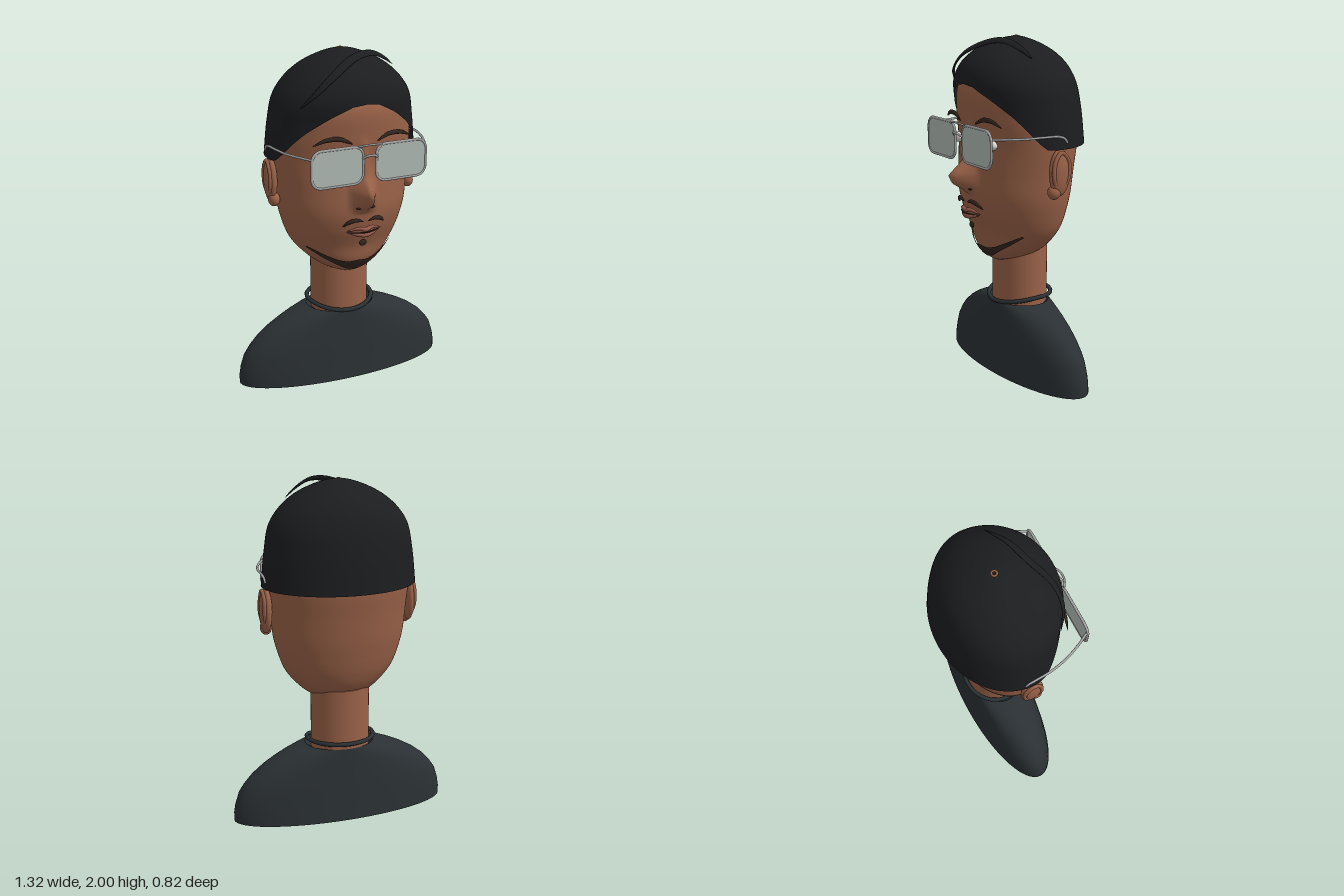
import * as THREE from 'three';

const mat = (color) => new THREE.MeshStandardMaterial({ color, side: THREE.DoubleSide });
const skin = mat(0x9a6248), hairMat = mat(0x1c1d1f), shirt = mat(0x2a3033), metal = mat(0xa8a8a8);
const lensMat = mat(0xb0bbb4), lipMat = mat(0x95594c), browMat = mat(0x33261f), white = mat(0xd8d4cc);
const TAU = Math.PI * 2;

// Smooth grid surface from f(u, v), both 0..1; u can wrap round.
function loft(f, nu, nv, wrap = true) {
  const pos = [], idx = [], cols = wrap ? nu : nu + 1;
  for (let j = 0; j <= nv; j++)
    for (let i = 0; i < cols; i++) pos.push(...f(i / nu, j / nv));
  for (let j = 0; j < nv; j++)
    for (let i = 0; i < nu; i++) {
      const a = j * cols + i, b = j * cols + (i + 1) % cols;
      idx.push(a, b, a + cols, b, b + cols, a + cols);
    }
  const g = new THREE.BufferGeometry();
  g.setAttribute('position', new THREE.Float32BufferAttribute(pos, 3));
  g.setIndex(idx);
  g.computeVertexNormals();
  return g;
}

const curve = (pts, closed = false) =>
  new THREE.CatmullRomCurve3(pts.map((p) => new THREE.Vector3(...p)), closed);

// Rows of [y, half width, front z, back z] smoothed into a profile.
function profile(rows) {
  const a = curve(rows.map(([y, w, f]) => [y, w, f]));
  const b = curve(rows.map(([y, w, , k]) => [y, w, k]));
  const at = (t) => {
    const p = a.getPoint(t), q = b.getPoint(t);
    return { y: p.x, w: Math.max(p.y, 0), f: p.z, b: q.z };
  };
  const atY = (y) => {
    let lo = 0, hi = 1;
    for (let i = 0; i < 24; i++) {
      const m = (lo + hi) / 2;
      if (a.getPoint(m).x < y) lo = m; else hi = m;
    }
    return at(lo);
  };
  return { at, atY };
}

const MID = -0.05; // depth of the widest line of the head
function around(r, phi) {
  const c = Math.cos(phi);
  return [r.w * Math.sin(phi), MID + (c > 0 ? r.f - MID : MID - r.b) * c];
}

function table(rows, x) {
  if (x <= rows[0][0]) return rows[0][1];
  for (let i = 1; i < rows.length; i++)
    if (x <= rows[i][0]) {
      const [x0, y0] = rows[i - 1], [x1, y1] = rows[i];
      return y0 + (y1 - y0) * (x - x0) / (x1 - x0);
    }
  return rows[rows.length - 1][1];
}

// Flattened sweep tapering to both ends; h is thickness along ref.
function taper(pts, w, h, ref = [0, 0, 1]) {
  const c = curve(pts), n0 = new THREE.Vector3(...ref);
  return loft((u, v) => {
    const p = c.getPoint(v), t = c.getTangent(v);
    const b = n0.clone().cross(t).normalize(), n = t.clone().cross(b);
    const k = 0.04 + 0.96 * Math.pow(Math.sin(Math.PI * v), 0.7);
    p.addScaledVector(b, w * k * Math.cos(u * TAU)).addScaledVector(n, h * k * Math.sin(u * TAU));
    return p.toArray();
  }, 10, 28);
}

const tube = (pts, r, closed = false, n = 48) => new THREE.TubeGeometry(curve(pts, closed), n, r, 8, closed);

function roundedRect(hw, hh, r) {
  const s = new THREE.Shape();
  [[1, 1], [-1, 1], [-1, -1], [1, -1]].forEach(([sx, sy], i) =>
    s.absarc(sx * (hw - r), sy * (hh - r), r, i * Math.PI / 2, (i + 1) * Math.PI / 2));
  return s.closePath();
}

export function createModel() {
  const model = new THREE.Group();
  const add = (name, geo, m, p = [0, 0, 0], s = [1, 1, 1]) => {
    const mesh = new THREE.Mesh(geo, m);
    mesh.name = name;
    mesh.position.set(...p);
    mesh.scale.set(...s);
    model.add(mesh);
    return mesh;
  };
  const ball = (name, m, p, s) => add(name, new THREE.SphereGeometry(1, 24, 16), m, p, s);

  // Bust: elliptical sections, closed underneath and dished at the neck
  const bust = [[0, 0, 0], [0, 0.66, 0.22], [0, 0.66, 0.22], [0.05, 0.66, 0.214], [0.1, 0.652, 0.208],
    [0.17, 0.63, 0.2], [0.22, 0.596, 0.195], [0.27, 0.55, 0.189], [0.32, 0.485, 0.183], [0.36, 0.415, 0.179],
    [0.39, 0.35, 0.175], [0.415, 0.28, 0.172], [0.432, 0.21, 0.17], [0.432, 0.21, 0.17], [0.4, 0.16, 0.14]];
  add('shoulders', loft((u, v) => {
    const [y, w, d] = bust[Math.round(v * (bust.length - 1))];
    return [w * Math.sin(u * TAU), y, -0.065 + d * Math.cos(u * TAU)];
  }, 72, bust.length - 1), shirt);

  // Neck and collar cord
  add('neck', new THREE.CylinderGeometry(1, 1, 0.42, 48), skin, [0, 0.58, -0.075], [0.175, 1, 0.16]);
  const cord = [];
  for (let i = 0; i < 24; i++) {
    const a = i / 24 * TAU, c = Math.cos(a);
    cord.push([0.2 * Math.sin(a), 0.47 - 0.035 * Math.max(c, 0) ** 1.5, -0.075 + 0.18 * c]);
  }
  add('collarCord', tube(cord, 0.013, true, 72), shirt);

  // Head with the nose drawn out of its front
  const head = profile([[0.68, 0.005, 0.03, 0], [0.685, 0.08, 0.085, -0.1], [0.715, 0.17, 0.14, -0.2],
    [0.78, 0.245, 0.185, -0.245], [0.88, 0.32, 0.205, -0.28], [1, 0.365, 0.25, -0.305], [1.1, 0.39, 0.27, -0.325],
    [1.25, 0.405, 0.265, -0.345], [1.4, 0.42, 0.255, -0.365], [1.55, 0.42, 0.27, -0.365], [1.7, 0.395, 0.27, -0.345],
    [1.82, 0.31, 0.2, -0.28], [1.92, 0.18, 0.08, -0.18], [1.97, 0, MID, MID]]);
  const noseOut = [[1.1, 0], [1.14, 0.05], [1.18, 0.118], [1.23, 0.145], [1.27, 0.1], [1.32, 0.045], [1.42, 0.03], [1.55, 0]];
  const noseWide = [[1.1, 0.1], [1.25, 0.09], [1.4, 0.05], [1.55, 0.05]];
  add('head', loft((u, v) => {
    const r = head.at(v), phi = u * TAU;
    let [x, z] = around(r, phi);
    if (Math.cos(phi) > 0) z += table(noseOut, r.y) * Math.max(0, 1 - Math.abs(x) / table(noseWide, r.y)) ** 1.3;
    const lift = 0.03 * (1 - Math.cos(phi)) * Math.max(0, 1 - (r.y - 0.68) / 0.3);
    return [x, r.y + lift, z];
  }, 144, 110), skin);
  const faceZ = (x, y) => {
    const r = head.atY(y);
    return MID + (r.f - MID) * Math.sqrt(Math.max(0, 1 - (x / r.w) ** 2));
  };

  // Cap of hair with an arched front hairline
  const hair = profile([[1.38, 0.459, 0.27, -0.412], [1.6, 0.435, 0.28, -0.39], [1.74, 0.405, 0.3, -0.362],
    [1.83, 0.345, 0.275, -0.325], [1.9, 0.265, 0.215, -0.265], [1.95, 0.175, 0.13, -0.19],
    [1.985, 0.08, 0.03, -0.11], [2, 0, MID, MID]]);
  const hem = [[0, 1.74], [0.2, 1.73], [0.48, 1.67], [0.8, 1.58], [1, 1.51], [1.15, 1.45], [1.3, 1.405], [1.4, 1.4]];
  add('hair', loft((u, v) => {
    const phi = u * TAU, h = table(hem, Math.min(phi, TAU - phi));
    const y = h + (2 - h) * Math.sin(v * Math.PI / 2);
    const [x, z] = around(hair.atY(y), phi);
    return [v === 1 ? 0 : x, y, z];
  }, 96, 36), hairMat);
  add('crownSpot', new THREE.TorusGeometry(0.014, 0.006, 8, 20).rotateX(Math.PI / 2), skin, [0, 1.994, MID]);
  add('hairStrand', taper([[-0.34, 1.72, 0.165], [-0.26, 1.81, 0.215], [-0.15, 1.9, 0.21], [0, 1.97, 0.14],
    [0.12, 1.98, 0.1], [0.22, 1.94, 0.06], [0.29, 1.89, 0.035]], 0.026, 0.009, [0, 0.8, 0.6]), hairMat);

  // Chin beard following the jaw
  const beardTop = [[0, 0.79], [0.06, 0.785], [0.12, 0.8], [0.2, 0.84], [0.28, 0.885]];
  const beardLow = [[0, 0.718], [0.06, 0.73], [0.12, 0.765], [0.2, 0.815], [0.28, 0.875]];
  add('chinBeard', loft((u, v) => {
    const x = (u * 2 - 1) * 0.28, lo = table(beardLow, Math.abs(x)), hi = table(beardTop, Math.abs(x));
    const y = lo + (hi - lo) * v;
    return [x, y, faceZ(x, y) + 0.01];
  }, 40, 6, false), browMat);

  // Mouth
  add('upperLip', taper([[-0.11, 1, 0.262], [-0.04, 1.022, 0.292], [0, 1.013, 0.298], [0.04, 1.022, 0.292],
    [0.11, 1, 0.262]], 0.013, 0.014), lipMat);
  add('lowerLip', taper([[-0.1, 0.995, 0.262], [0, 0.979, 0.292], [0.1, 0.995, 0.262]], 0.015, 0.015), lipMat);
  add('lipLine', taper([[-0.105, 0.998, 0.27], [0, 0.998, 0.306], [0.105, 0.998, 0.27]], 0.004, 0.004), browMat);
  ball('soulPatch', browMat, [0, 0.92, 0.258], [0.024, 0.019, 0.008]);

  for (const s of [-1, 1]) {
    const side = s > 0 ? 'left' : 'right';
    const mx = (pts) => pts.map(([x, y, z]) => [x * s, y, z]);

    // Ears
    ball(side + 'Ear', skin, [s * 0.44, 1.27, -0.05], [0.034, 0.135, 0.068]);
    ball(side + 'EarLobe', skin, [s * 0.432, 1.16, -0.02], [0.034, 0.042, 0.04]);
    add(side + 'EarFold', tube(mx([[0.452, 1.19, -0.02], [0.46, 1.25, 0], [0.46, 1.34, -0.01], [0.46, 1.385, -0.05],
      [0.46, 1.34, -0.095], [0.46, 1.25, -0.1], [0.452, 1.18, -0.07]]), 0.012), skin);

    // Eyes, brows, nostrils and moustache
    ball(side + 'Eye', white, [s * 0.18, 1.41, 0.235], [0.045, 0.03, 0.03]);
    ball(side + 'Pupil', browMat, [s * 0.18, 1.41, 0.258], [0.018, 0.018, 0.014]);
    add(side + 'Brow', taper(mx([[0.075, 1.52, 0.28], [0.15, 1.553, 0.272], [0.23, 1.552, 0.26], [0.3, 1.522, 0.24]]),
      0.014, 0.01), browMat);
    ball(side + 'Nostril', browMat, [s * 0.042, 1.143, 0.293], [0.016, 0.007, 0.01]);
    add(side + 'Moustache', taper(mx([[0.015, 1.062, 0.296], [0.06, 1.075, 0.296], [0.1, 1.062, 0.282], [0.13, 1.035, 0.262]]),
      0.013, 0.01), browMat);

    // Glasses: lens, rim and temple arm
    const at = [s * 0.195, 1.415, 0.34];
    add(side + 'Lens', new THREE.ExtrudeGeometry(roundedRect(0.152, 0.103, 0.055),
      { depth: 0.008, bevelEnabled: false, curveSegments: 10 }), lensMat, [at[0], at[1], 0.336]);
    const rim = roundedRect(0.155, 0.106, 0.058).getSpacedPoints(48).slice(0, -1).map((p) => [p.x, p.y, 0]);
    add(side + 'Rim', tube(rim, 0.008, true, 96), metal, at);
    add(side + 'Temple', tube(mx([[0.345, 1.475, 0.335], [0.385, 1.475, 0.26], [0.425, 1.475, 0.16], [0.448, 1.478, 0.06],
      [0.455, 1.475, -0.03], [0.453, 1.46, -0.075], [0.45, 1.435, -0.095]]), 0.007), metal);
  }

  // Glasses bridges
  add('bridge', tube([[-0.045, 1.45, 0.34], [-0.02, 1.467, 0.362], [0.02, 1.467, 0.362], [0.045, 1.45, 0.34]], 0.007), metal);
  add('topBridge', tube([[-0.07, 1.52, 0.342], [-0.03, 1.53, 0.365], [0.03, 1.53, 0.365], [0.07, 1.52, 0.342]], 0.006), metal);

  return model;
}
